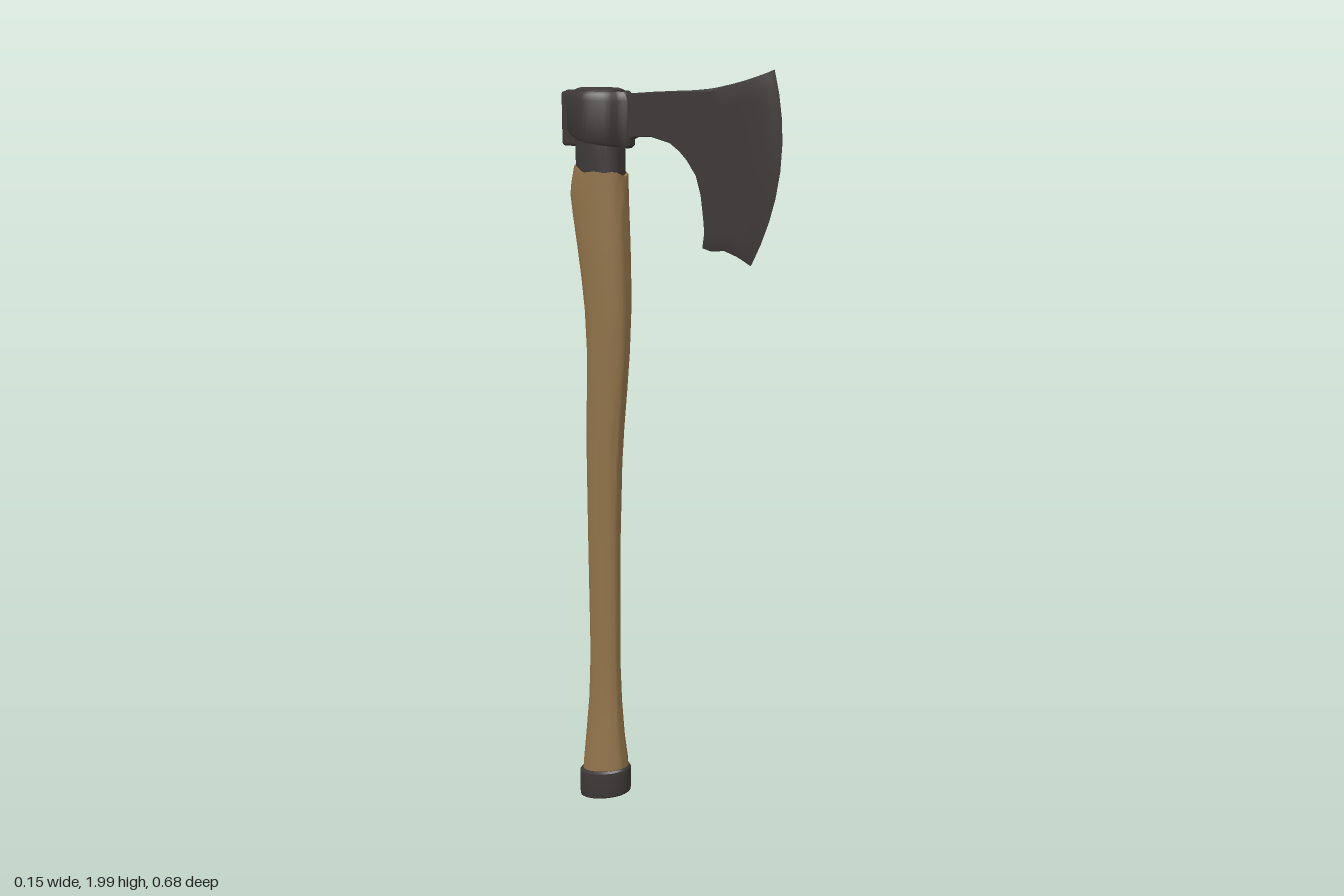
import * as THREE from 'three';
import { toCreasedNormals } from 'three/addons/utils/BufferGeometryUtils.js';
import { RoundedBoxGeometry } from 'three/addons/geometries/RoundedBoxGeometry.js';

// Skin a list of closed rings (arrays of [x, y, z]) and cap both ends
function skin(rings, crease = 0.7) {
  const n = rings[0].length;
  const pos = rings.flat(2);
  const idx = [];
  for (let i = 0; i < rings.length - 1; i++) {
    for (let j = 0; j < n; j++) {
      const a = i * n + j, b = i * n + (j + 1) % n;
      idx.push(a, a + n, b, b, a + n, b + n);
    }
  }
  [0, rings.length - 1].forEach((r, end) => {
    const centre = pos.length / 3;
    for (let k = 0; k < 3; k++) pos.push(rings[r].reduce((s, p) => s + p[k], 0) / n);
    for (let j = 0; j < n; j++) {
      const a = r * n + j, b = r * n + (j + 1) % n;
      if (end) idx.push(centre, b, a);
      else idx.push(centre, a, b);
    }
  });
  const g = new THREE.BufferGeometry();
  g.setAttribute('position', new THREE.Float32BufferAttribute(pos, 3));
  g.setIndex(idx);
  return toCreasedNormals(g, crease);
}

// Oval ring; tilt slopes it along z, wave makes its rim uneven
function oval([y, back, front, halfX, tilt = 0, wave = 0]) {
  const n = 32, zc = (back + front) / 2, r = (front - back) / 2;
  return Array.from({ length: n }, (_, j) => {
    const a = j / n * Math.PI * 2, s = Math.sin(a) * r;
    const bump = wave * (Math.sin(a * 3 + 1) + 0.6 * Math.sin(a * 7));
    return [Math.cos(a) * halfX, y + tilt * s + bump, zc + s];
  });
}

export function createModel() {
  const group = new THREE.Group();
  const wood = new THREE.MeshStandardMaterial({ color: 0x91734a, name: 'wood' });
  const iron = new THREE.MeshStandardMaterial({ color: 0x3f3939, name: 'iron' });
  const add = (name, geometry, material) => {
    const mesh = new THREE.Mesh(geometry, material);
    mesh.name = name;
    group.add(mesh);
  };

  // Curved wooden handle: y, back z, front z, half width, tilt, wave
  add('handle', skin([
    [0.08, -0.31, -0.157, 0.049, 0.25],
    [0.14, -0.305, -0.16, 0.046, 0.2],
    [0.22, -0.295, -0.169, 0.039],
    [0.32, -0.285, -0.176, 0.032],
    [0.45, -0.279, -0.18, 0.028],
    [0.8, -0.28, -0.175, 0.031],
    [1.0, -0.28, -0.167, 0.033],
    [1.1, -0.278, -0.159, 0.035],
    [1.2, -0.274, -0.148, 0.037],
    [1.3, -0.271, -0.139, 0.04],
    [1.4, -0.275, -0.134, 0.043],
    [1.48, -0.284, -0.134, 0.046],
    [1.56, -0.296, -0.136, 0.049],
    [1.64, -0.31, -0.139, 0.051],
    [1.69, -0.317, -0.141, 0.052],
    [1.72, -0.312, -0.142, 0.052],
    [1.752, -0.301, -0.143, 0.051, -0.09, 0.004],
  ].map(oval)), wood);

  // Slanted iron pommel
  add('pommel', skin([
    [0.029, -0.31, -0.162, 0.046, 0.3],
    [0.034, -0.317, -0.154, 0.053, 0.3],
    [0.045, -0.318, -0.152, 0.055, 0.29],
    [0.108, -0.318, -0.152, 0.055, 0.26],
    [0.114, -0.314, -0.156, 0.051, 0.26],
  ].map(oval), 0.5), iron);

  // Iron collar running through the head, with a slightly domed top
  add('collar', skin([
    [1.71, -0.295, -0.15, 0.046],
    [1.79, -0.296, -0.152, 0.048],
    [1.93, -0.295, -0.154, 0.052],
    [1.944, -0.292, -0.157, 0.05],
    [1.948, -0.28, -0.169, 0.04],
  ].map(oval)), iron);

  // Socket of the head, swelling around the handle
  const half = [
    [0.02, -0.335], [0.021, -0.318], [0.034, -0.302], [0.047, -0.28], [0.063, -0.25],
    [0.073, -0.215], [0.063, -0.18], [0.045, -0.152], [0.02, -0.134], [0.011, -0.118],
  ];
  const loop = [...half, ...half.map(([x, z]) => [-x, z]).reverse()];
  const outline = new THREE.CatmullRomCurve3(loop.map(([x, z]) => new THREE.Vector3(x, 0, z)), true)
    .getPoints(60).slice(0, 60);
  add('socket', skin([
    [1.823, 0.92, -0.15], [1.832, 1, -0.15], [1.92, 1, 0], [1.935, 0.94, 0], [1.941, 0.87, 0],
  ].map(([y, s, tilt]) => outline.map((p) => {
    const dz = (p.z + 0.22) * s;
    return [p.x * s, y - tilt * dz * -1, dz - 0.22];
  }))), iron);

  // Poll block behind the socket
  const poll = new RoundedBoxGeometry(0.042, 0.132, 0.055, 3, 0.008);
  poll.translate(0, 1.872, -0.312);
  add('poll', poll, iron);

  // Bearded blade, as columns: top z, y, bottom z, y, half thickness, forward bow
  const columns = [
    [-0.15, 1.937, -0.15, 1.817, 0.014, 0],
    [-0.125, 1.937, -0.125, 1.827, 0.012, 0],
    [-0.1, 1.939, -0.1, 1.836, 0.011, 0],
    [-0.048, 1.943, -0.048, 1.839, 0.011, 0],
    [0.005, 1.946, 0.01, 1.828, 0.011, 0],
    [0.04, 1.948, 0.04, 1.811, 0.011, 0],
    [0.065, 1.949, 0.065, 1.79, 0.011, 0],
    [0.095, 1.951, 0.095, 1.754, 0.011, 0],
    [0.115, 1.953, 0.11, 1.71, 0.011, 0],
    [0.135, 1.955, 0.118, 1.655, 0.011, 0.003],
    [0.155, 1.958, 0.121, 1.62, 0.011, 0.008],
    [0.175, 1.962, 0.115, 1.59, 0.011, 0.018],
    [0.2, 1.967, 0.143, 1.585, 0.011, 0.025],
    [0.235, 1.975, 0.18, 1.59, 0.0105, 0.035],
    [0.27, 1.985, 0.217, 1.58, 0.009, 0.043],
    [0.295, 1.993, 0.238, 1.57, 0.005, 0.048],
    [0.312, 2, 0.254, 1.561, 0, 0.051],
  ];
  const steps = [0, 0.02, 0.12, 0.24, 0.36, 0.5, 0.64, 0.76, 0.88, 0.98, 1];
  add('blade', skin(columns.map(([tz, ty, bz, by, t, bow]) => {
    const side = (sign) => steps.map((v) => [
      sign * t * (v === 0 || v === 1 ? 0.7 : 1),
      by + (ty - by) * v,
      bz + (tz - bz) * v + bow * 4 * v * (1 - v),
    ]);
    return [...side(-1), ...side(1).reverse()];
  }), 0.5), iron);

  return group;
}
